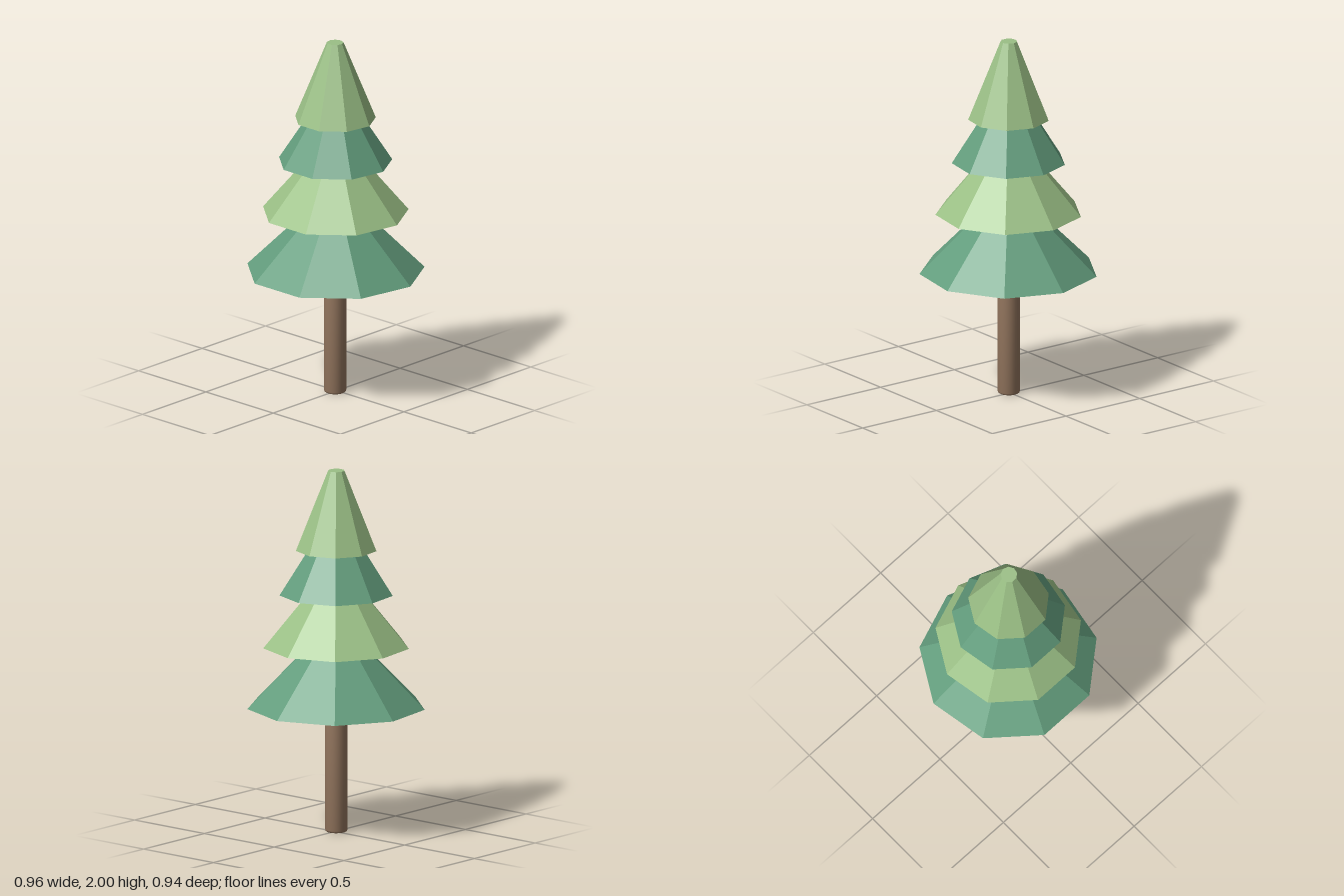
import * as THREE from 'three';
import { toCreasedNormals } from 'three/addons/utils/BufferGeometryUtils.js';

const SIDES = 9;
const CENTRE_Z = 0.012; // nine-sided tiers have a corner at the back and a flat at the front

const lightLeaf = new THREE.MeshStandardMaterial({ color: 0x9bc086, flatShading: true });
const darkLeaf = new THREE.MeshStandardMaterial({ color: 0x639d7d, flatShading: true });
const bark = new THREE.MeshStandardMaterial({ color: 0x967860 });

// One solid truncated cone of foliage between two heights
function makeTier(name, bottom, top, bottomRadius, topRadius, material) {
  const height = top - bottom;
  const geometry = new THREE.CylinderGeometry(
    topRadius, bottomRadius, height, SIDES, 1, false, Math.PI, Math.PI * 2);
  const mesh = new THREE.Mesh(geometry, material);
  mesh.name = name;
  mesh.position.y = bottom + height / 2;
  return mesh;
}

// Round trunk with a small bevel at its foot
function makeTrunk() {
  const profile = [
    [0, 0], [0.052, 0], [0.058, 0.004], [0.061, 0.012], [0.061, 0.7], [0, 0.7],
  ].map(([r, y]) => new THREE.Vector2(r, y));
  const geometry = toCreasedNormals(new THREE.LatheGeometry(profile, 32), Math.PI / 5);
  const mesh = new THREE.Mesh(geometry, bark);
  mesh.name = 'trunk';
  return mesh;
}

export function createModel() {
  const tree = new THREE.Group();
  tree.name = 'tree';

  const body = new THREE.Group();
  body.name = 'treeBody';
  body.position.z = CENTRE_Z;
  tree.add(body);

  body.add(makeTrunk());

  // Foliage from bottom to top: name, bottom, top, bottom radius, top radius, material
  const tiers = [
    ['lowestFoliage', 0.694, 1.028, 0.487, 0.155, darkLeaf],
    ['lowerMiddleFoliage', 1.028, 1.318, 0.4, 0.158, lightLeaf],
    ['upperMiddleFoliage', 1.318, 1.562, 0.311, 0.155, darkLeaf],
    ['topFoliage', 1.562, 2, 0.2215, 0.0455, lightLeaf],
  ];
  for (const tier of tiers) body.add(makeTier(...tier));

  return tree;
}
